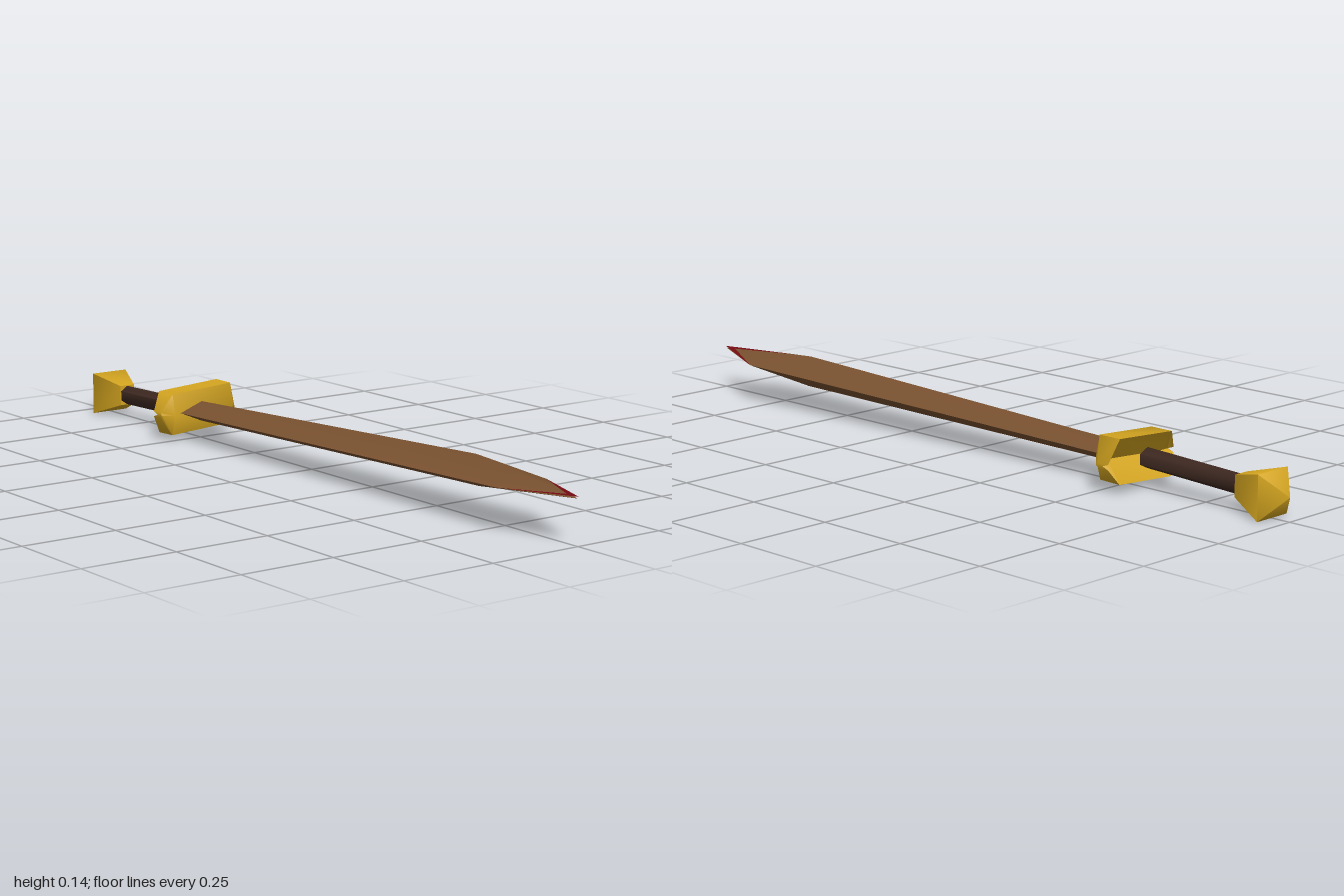
import * as THREE from 'three';
import { toCreasedNormals } from 'three/addons/utils/BufferGeometryUtils.js';

const material = (name, color) => {
  const m = new THREE.MeshStandardMaterial({ color });
  m.name = name;
  return m;
};

// Closed skin through rings of points (equal counts), with capped ends, facing outward.
function loft(rings, crease) {
  const tris = [];
  const add = (a, b, c) => {
    const [p, q, r] = [a, b, c].map((v) => new THREE.Vector3(...v));
    const area = q.clone().sub(p).cross(r.clone().sub(p)).length();
    if (area > 1e-9) tris.push([p, q, r]);
  };
  const n = rings[0].length;
  for (let i = 0; i < rings.length - 1; i++) {
    for (let j = 0; j < n; j++) {
      const k = (j + 1) % n;
      add(rings[i][j], rings[i][k], rings[i + 1][k]);
      add(rings[i][j], rings[i + 1][k], rings[i + 1][j]);
    }
  }
  const first = rings[0], last = rings[rings.length - 1];
  for (let j = 1; j < n - 1; j++) {
    add(first[0], first[j + 1], first[j]);
    add(last[0], last[j], last[j + 1]);
  }
  // The sign of the enclosed volume tells whether the corners run outward.
  const center = tris[0][0];
  let volume = 0;
  for (const [p, q, r] of tris) {
    volume += p.clone().sub(center).dot(q.clone().sub(center).cross(r.clone().sub(center)));
  }
  const points = tris.flatMap(([p, q, r]) => (volume < 0 ? [p, r, q] : [p, q, r]));
  return toCreasedNormals(new THREE.BufferGeometry().setFromPoints(points), crease);
}

const collapse = (point, n) => Array(n).fill(point);

export function createModel() {
  const group = new THREE.Group();
  const wood = material('wood brown', 0x7a5230);
  const grip = material('dark grip', 0x3d2820);
  const gold = material('gold', 0xd4a520);
  const red = material('dark red', 0x760a12);
  const part = (name, geometry, mat) => {
    const mesh = new THREE.Mesh(geometry, mat);
    mesh.name = name;
    group.add(mesh);
  };

  // Diamond-section blade: ridges end sooner than the side edges.
  const leftEdge = [0.09, 0.108, 0.79];
  const rightEdge = [-0.075, 0.112, 0.8];
  part('blade', loft([
    [[0.035, 0.07, -0.515], [0, 0.1, -0.515], [-0.07, 0.076, -0.515], [0, 0.047, -0.515]],
    [leftEdge, [0.02, 0.147, 0.62], rightEdge, [0.03, 0.068, 0.62]],
    collapse([0, 0.112, 0.995], 4),
  ], 1.15), wood);

  // Thin red face between the edges, emerging only at the point.
  const tip = new THREE.BufferGeometry().setFromPoints(
    [rightEdge, [0, 0.117, 1], leftEdge].map((v) => new THREE.Vector3(...v)));
  tip.computeVertexNormals();
  part('bladeTip', tip, red);

  // Crossguard: a bar with a notched back, pinched at both ends.
  const profile = [[0.055, -0.5], [0, -0.488], [-0.055, -0.503],
    [-0.057, -0.565], [0, -0.527], [0.055, -0.565]];
  const guardRing = (x, y, scaleY, scaleZ) =>
    profile.map(([py, z]) => [x, y + py * scaleY, -0.525 + (z + 0.525) * scaleZ]);
  part('crossguard', loft([
    guardRing(-0.118, 0.072, 0.12, 0.5),
    guardRing(-0.088, 0.072, 1, 1),
    guardRing(0.098, 0.084, 1, 1),
    guardRing(0.117, 0.069, 0.12, 0.5),
  ], 1.1), gold);

  // Six-sided tapering handle.
  const handleRing = (x, y, z, rx, ry) => Array.from({ length: 6 }, (_, i) => {
    const a = (i + 0.5) * Math.PI / 3;
    return [x + rx * Math.cos(a) / 0.866, y + ry * Math.sin(a), z];
  });
  part('handle', loft([
    handleRing(-0.012, 0.073, -0.555, 0.027, 0.026),
    handleRing(-0.005, 0.062, -0.87, 0.019, 0.026),
  ], 1.1), grip);

  // Four-sided pommel flaring out, then closing to a point.
  const square = (x0, x1, y0, y1, z) => [[x0, y0, z], [x1, y0, z], [x1, y1, z], [x0, y1, z]];
  part('pommel', loft([
    square(-0.027, 0.017, 0.036, 0.09, -0.85),
    square(-0.055, 0.052, 0.002, 0.114, -0.947),
    collapse([0, 0.06, -1], 4),
  ], 1.2), gold);

  return group;
}
